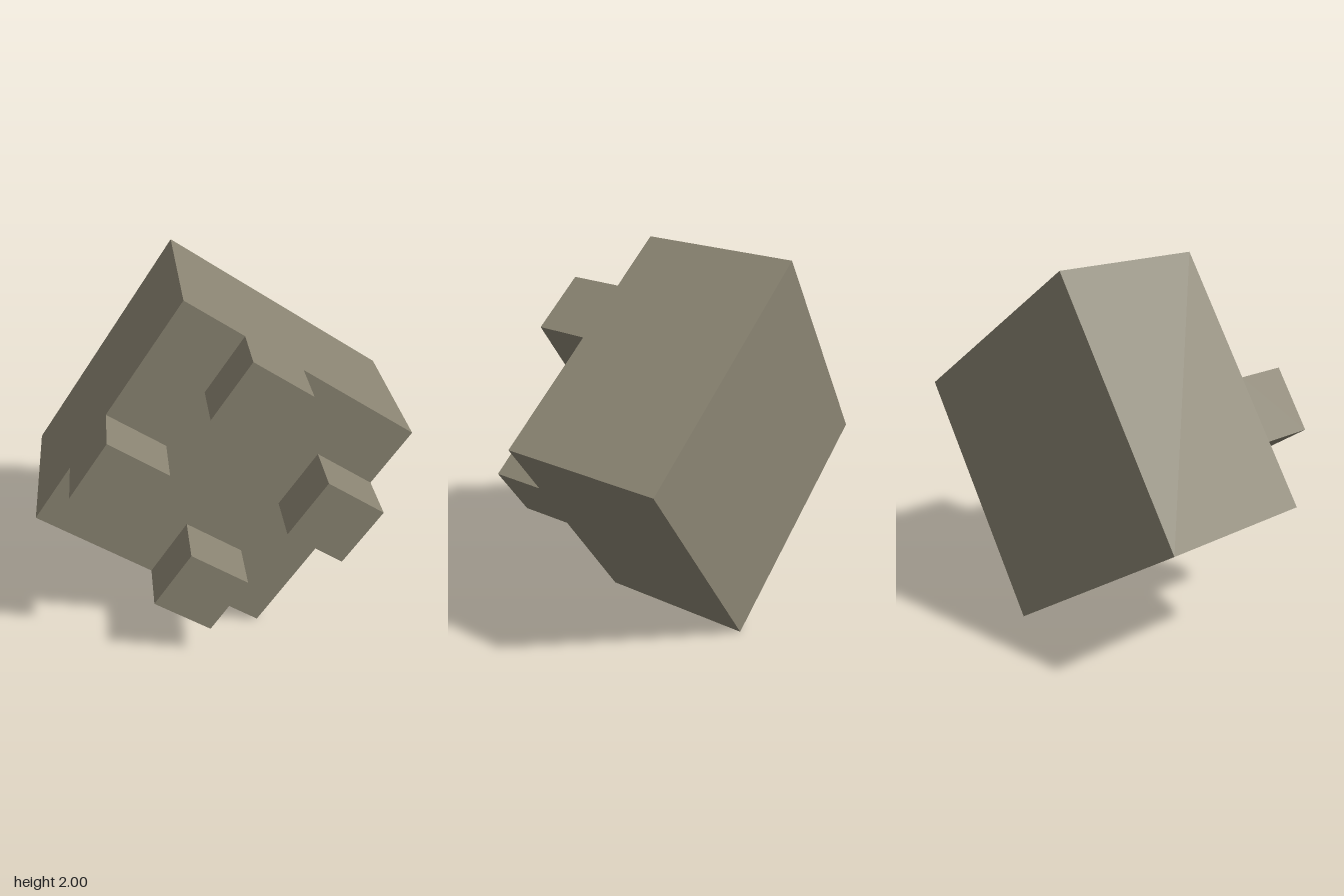
import * as THREE from 'three';

export function createModel() {
  const model = new THREE.Group();
  const stone = new THREE.MeshStandardMaterial({ color: 0x8a8472 });
  stone.name = 'stone';

  const tilt = THREE.MathUtils.degToRad(33.9);
  const side = 2 / (Math.cos(tilt) + Math.sin(tilt)); // tilted square fills 2 x 2
  const bodyDepth = side * 0.6;
  const toothDepth = side * 0.2;
  const back = -(bodyDepth + toothDepth) / 2;

  // Everything sits in a tilted group, centred at the middle of the square
  const tower = new THREE.Group();
  tower.name = 'tower';
  tower.position.y = 1;
  tower.rotation.z = -tilt;
  model.add(tower);

  // Solid block
  const body = new THREE.Mesh(new THREE.BoxGeometry(side, side, bodyDepth), stone);
  body.name = 'body';
  body.position.z = back + bodyDepth / 2;
  tower.add(body);

  // One battlement tooth per edge, repeated every quarter turn
  const toothGeometry = new THREE.BoxGeometry(side / 4, side / 4, toothDepth);
  toothGeometry.translate(-side * 0.125, side * 0.375, back + bodyDepth + toothDepth / 2);
  for (let i = 0; i < 4; i++) {
    const tooth = new THREE.Mesh(toothGeometry, stone);
    tooth.name = `battlement${i + 1}`;
    tooth.rotation.z = -i * Math.PI / 2;
    tower.add(tooth);
  }

  return model;
}
